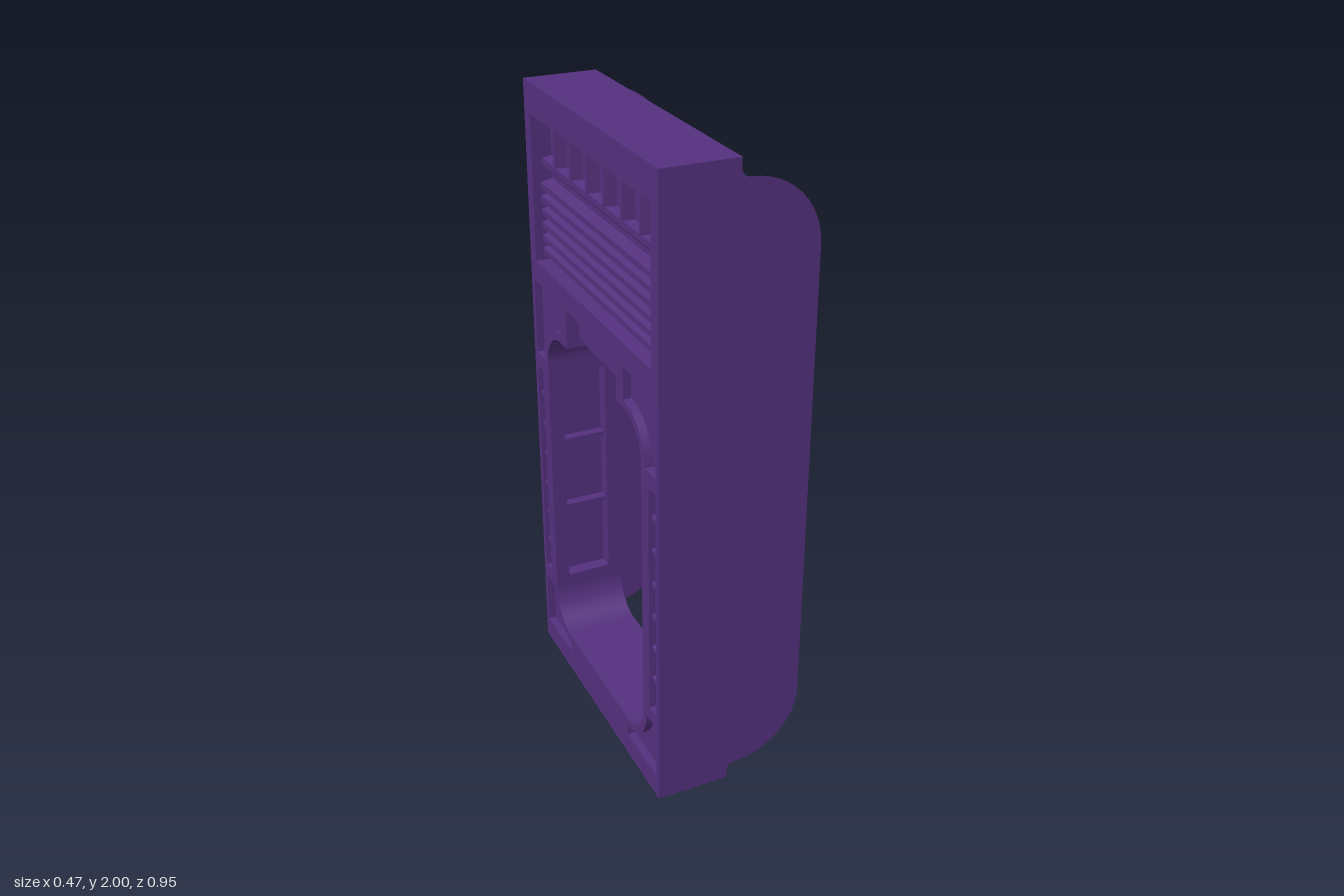
import * as THREE from 'three';
import { toCreasedNormals } from 'three/addons/utils/BufferGeometryUtils.js';

const FRONT = 0.2375, Z = 0.475;
const material = new THREE.MeshStandardMaterial({ color: 0x55317f, side: THREE.DoubleSide });

// Sheet swept from c0 to c1 along local z over a path of [a, b] points
function ribbon(path, c0, c1) {
  const pos = [], index = [];
  path.forEach(([a, b], i) => {
    pos.push(a, b, c0, a, b, c1);
    if (i) { const k = i * 2; index.push(k - 2, k, k - 1, k, k + 1, k - 1); }
  });
  const g = new THREE.BufferGeometry();
  g.setAttribute('position', new THREE.Float32BufferAttribute(pos, 3));
  g.setIndex(index);
  g.computeVertexNormals();
  return toCreasedNormals(g, 0.5);
}

const toShape = pts => new THREE.Shape(pts.map(p => new THREE.Vector2(p[0], p[1])));
const rect = (a0, b0, a1, b1) => [[a0, b0], [a1, b0], [a1, b1], [a0, b1]];
const mirror = (pts, s) => pts.map(([a, b]) => [a * s, b]);

function arc(cx, cy, r, t0, t1, n = 12) {
  return Array.from({ length: n + 1 }, (_, i) => {
    const t = (t0 + (t1 - t0) * i / n) * Math.PI / 2;
    return [cx + r * Math.cos(t), cy + r * Math.sin(t)];
  });
}

function add(parent, name, geometry) {
  const m = new THREE.Mesh(geometry, material);
  m.name = name;
  parent.add(m);
  return m;
}

// Flat sheet with holes at local z = c
function sheet(parent, name, pts, c, holes = []) {
  const s = toShape(pts);
  s.holes = holes.map(h => new THREE.Path(h.map(p => new THREE.Vector2(p[0], p[1]))));
  add(parent, name, new THREE.ShapeGeometry(s).translate(0, 0, c));
}

// Walls and floor of a sunken pocket
function pocket(parent, name, pts, c0, c1) {
  add(parent, name + 'Walls', ribbon([...pts, pts[0]], c0, c1));
  sheet(parent, name + 'Floor', pts, c1);
}

export function createModel() {
  const root = new THREE.Group();
  root.name = 'doorFrame';
  // Face frame: local x = z, local y = y, local z = -x
  const face = new THREE.Group();
  face.name = 'facePanel';
  face.rotation.y = -Math.PI / 2;
  root.add(face);

  // Side plates with rounded wings, and top and bottom caps
  const plate = [
    [-FRONT, 0], [-0.005, 0], [-0.005, 0.035], [0.005, 0.05],
    ...arc(0.02, 0.27, 0.2155, -1, 0), ...arc(0.02, 1.73, 0.2155, 0, 1),
    [0.005, 1.95], [-0.005, 1.965], [-0.005, 2], [-FRONT, 2]];
  for (const s of [-1, 1]) sheet(root, 'sidePlate', plate, s * Z);
  for (const y of [0, 2]) add(root, 'cap', ribbon([[-FRONT, y], [-0.005, y]], -Z, Z));

  // Face outline with the opening, notched at the top middle
  const lowArch = [...arc(-0.24, 0.26, 0.12, 2, 3), ...arc(0.24, 0.26, 0.12, 3, 4)];
  const topCorner = [...arc(0.24, 1.12, 0.12, 0, 1), [0.19, 1.24]];
  const opening = [...lowArch, ...topCorner, [0.19, 1.37], [-0.19, 1.37],
    ...mirror(topCorner, -1).reverse()];
  const vent = rect(-0.43, 1.44, 0.43, 1.905);
  const channel = rect(0.408, 0.305, 0.455, 1.07);
  const cornerTop = [[0.455, 1.12], [0.455, 1.37], [0.24, 1.37],
    ...arc(0.24, 1.12, 0.145, 1, 0)];
  const cornerLow = [[0.455, 0.26], [0.455, 0.075], [0.24, 0.075],
    ...arc(0.24, 0.26, 0.145, 3, 4)];
  const holes = [opening, vent];

  for (const s of [-1, 1]) {
    // Sunken corner panels and runged side channels
    for (const [name, pts, d] of [['upperCorner', cornerTop, 0.025],
      ['lowerCorner', cornerLow, 0.025], ['sideChannel', channel, 0.03]]) {
      const p = mirror(pts, s);
      holes.push(p);
      pocket(face, name, p, FRONT, FRONT - d);
    }
    for (let i = 0; i < 6; i++) {
      const y = 0.41 + i * 0.112, w = FRONT - 0.03;
      const rung = add(root, 'channelRung', ribbon(
        [[-w, y - 0.012], [-w - 0.02, y - 0.006], [-w - 0.02, y + 0.006], [-w, y + 0.012]],
        0.408 * s, 0.455 * s));
      rung.name = 'channelRung';
    }

    // Opening side walls with sunken three-cell panels
    const z = s * 0.36, zIn = s * 0.405;
    const cell = rect(-0.19, 0.305, -0.045, 1.07);
    sheet(root, 'openingSide', rect(-FRONT, 0.26, 0, 1.12), z, [cell]);
    pocket(root, 'openingPanel', cell, z, zIn);
    for (const y of [0.565, 0.815]) {
      const bar = add(root, 'panelBar', new THREE.BoxGeometry(0.145, 0.02, 0.03));
      bar.position.set(-0.1175, y, s * 0.39);
    }
    add(face, 'openingTopCorner', ribbon(mirror(topCorner, s), 0, FRONT));
  }
  add(face, 'openingBottom', ribbon(lowArch, 0, FRONT));
  sheet(face, 'faceSheet', rect(-Z, 0, Z, 2), FRONT, holes);

  // Stepped recess above the opening
  const step = [[-FRONT, 1.37], [-0.195, 1.37], [-0.195, 1.265], [-0.04, 1.265], [-0.04, 1.24]];
  add(root, 'lintelRecess', ribbon([...step, [0, 1.24]], -0.19, 0.19));
  for (const s of [-1, 1]) sheet(root, 'lintelCheek', [...step, [-FRONT, 1.24]], s * 0.19);

  // Vent recess walls
  const back = 0.175;
  add(face, 'ventWalls', ribbon([...vent, vent[0]], FRONT, back));

  // Horizontal louvres as one folded sheet
  const fold = [[-back, 1.77], [-0.205, 1.765], [-0.205, 1.745], [-0.19, 1.735], [-back, 1.715]];
  for (let i = 0; i < 6; i++) {
    const y = 1.69 - i * 0.042;
    fold.push([-back, y + 0.008], [-0.212, y + 0.001], [-0.212, y - 0.017], [-back, y - 0.024]);
  }
  fold.push([-back, 1.44]);
  add(root, 'louvres', ribbon(fold, -0.43, 0.43));

  // Upper row of seven bays between upright ribs
  const bays = [[-0.43, -back]];
  for (let i = 1; i < 7; i++) {
    const z = -0.43 + i * 0.86 / 7;
    bays.push([z - 0.011, -back], [z - 0.006, -0.212], [z + 0.006, -0.212], [z + 0.011, -back]);
  }
  bays.push([0.43, -back]);
  const basis = new THREE.Matrix4().makeBasis(
    new THREE.Vector3(0, 0, 1), new THREE.Vector3(1, 0, 0), new THREE.Vector3(0, 1, 0));
  add(root, 'ventBays', ribbon(bays, 1.77, 1.905).applyMatrix4(basis));

  return root;
}
